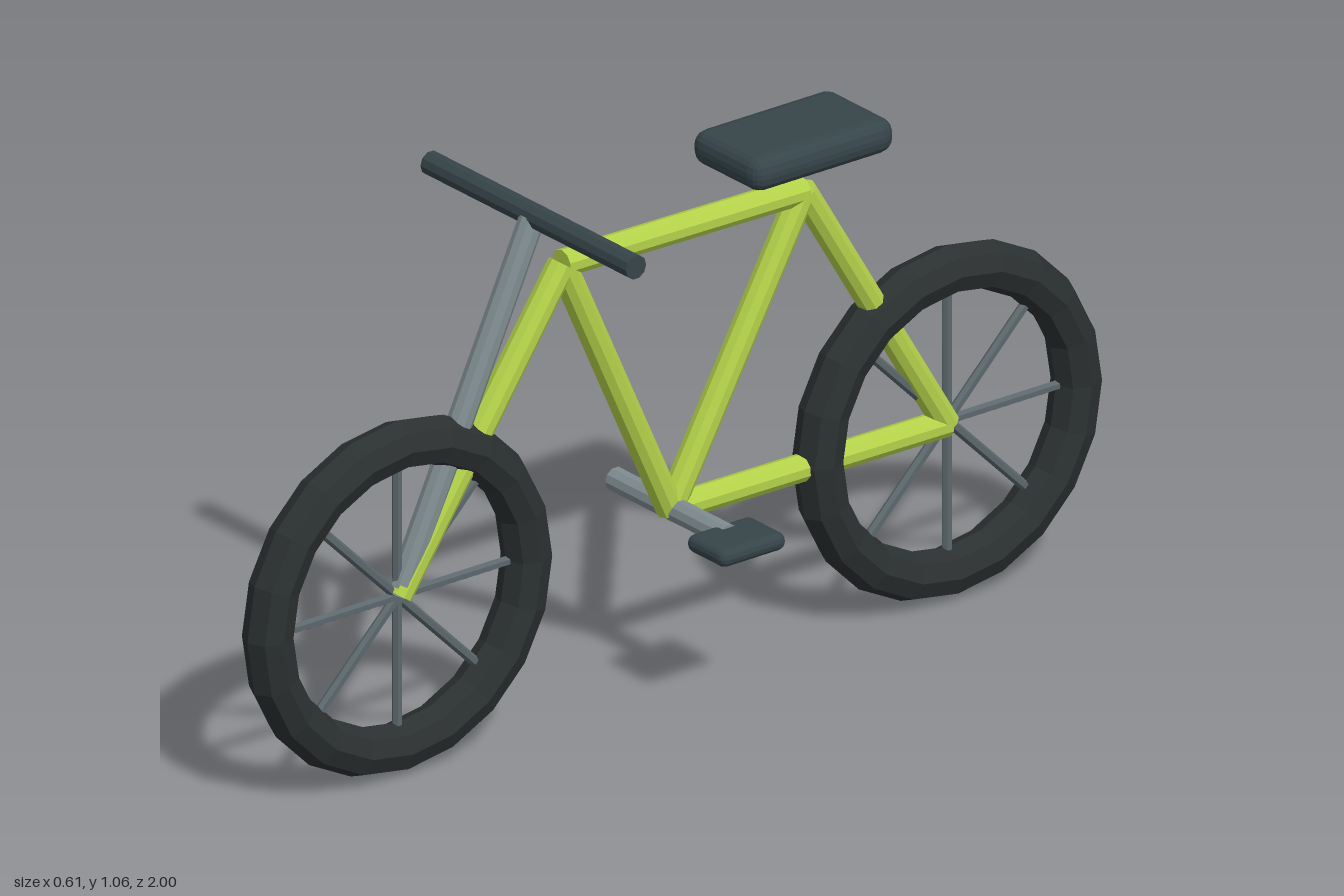
import * as THREE from 'three';
import { RoundedBoxGeometry } from 'three/addons/geometries/RoundedBoxGeometry.js';

const paint = (color) => new THREE.MeshStandardMaterial({ color, flatShading: true });
const lime = paint(0xb4d24a);
const rubber = paint(0x2b3031);
const dark = paint(0x36454a);
const steel = paint(0x7f8c90);
const wire = paint(0x5c686c);

const HUB_Y = 0.36, HUB_Z = 0.648;
const RIM = 0.305, TYRE = 0.048;

function add(parent, name, geometry, material) {
  const mesh = new THREE.Mesh(geometry, material);
  mesh.name = name;
  parent.add(mesh);
  return mesh;
}

// Straight round bar between two points
function bar(parent, name, a, b, radius, material, sides = 10) {
  const from = new THREE.Vector3(...a), to = new THREE.Vector3(...b);
  const dir = to.clone().sub(from);
  const mesh = add(parent, name, new THREE.CylinderGeometry(radius, radius, dir.length(), sides), material);
  mesh.position.copy(from).add(to).multiplyScalar(0.5);
  mesh.quaternion.setFromUnitVectors(new THREE.Vector3(0, 1, 0), dir.normalize());
  return mesh;
}

// Tyre with eight spokes, made of four rods across the rim
function wheel(name, z) {
  const group = new THREE.Group();
  group.name = name;
  add(group, 'tyre', new THREE.TorusGeometry(RIM, TYRE, 8, 20), rubber).rotation.y = Math.PI / 2;
  for (let i = 0; i < 4; i++) {
    const a = (i * Math.PI) / 4;
    const y = Math.sin(a) * RIM, dz = Math.cos(a) * RIM;
    bar(group, 'spokePair', [0, -y, -dz], [0, y, dz], 0.01, wire, 6);
  }
  group.position.set(0, HUB_Y, z);
  return group;
}

export function createModel() {
  const bike = new THREE.Group();
  bike.name = 'bicycle';
  bike.add(wheel('frontWheel', HUB_Z), wheel('rearWheel', -HUB_Z));

  // Frame
  const frontHub = [0, HUB_Y, 0.645];
  const rearHub = [0, 0.355, -0.645];
  const head = [0, 0.925, 0.26];
  const seatTop = [0, 0.918, -0.307];
  const crankAxis = [0, HUB_Y, 0.005];
  const frame = new THREE.Group();
  frame.name = 'frame';
  const tubes = [
    ['frontTube', frontHub, head],
    ['topTube', head, seatTop],
    ['downTube', head, crankAxis],
    ['seatTube', seatTop, crankAxis],
    ['seatStay', seatTop, rearHub],
    ['chainStay', crankAxis, rearHub],
  ];
  for (const [name, a, b] of tubes) bar(frame, name, a, b, 0.027, lime);
  bike.add(frame);

  // Steering
  bar(bike, 'fork', frontHub, [0, 1.035, 0.33], 0.025, steel);
  bar(bike, 'handlebar', [-0.306, 1.041, 0.327], [0.306, 1.041, 0.327], 0.024, dark);

  // Saddle
  add(bike, 'saddle', new RoundedBoxGeometry(0.205, 0.07, 0.335, 2, 0.03), dark)
    .position.set(0, 1.023, -0.286);

  // Crank and its single pedal
  bar(bike, 'crank', [-0.169, HUB_Y, 0], [0.169, HUB_Y, 0], 0.024, steel);
  add(bike, 'pedal', new RoundedBoxGeometry(0.115, 0.036, 0.155, 2, 0.017), dark)
    .position.set(0.197, HUB_Y, 0.004);

  return bike;
}
